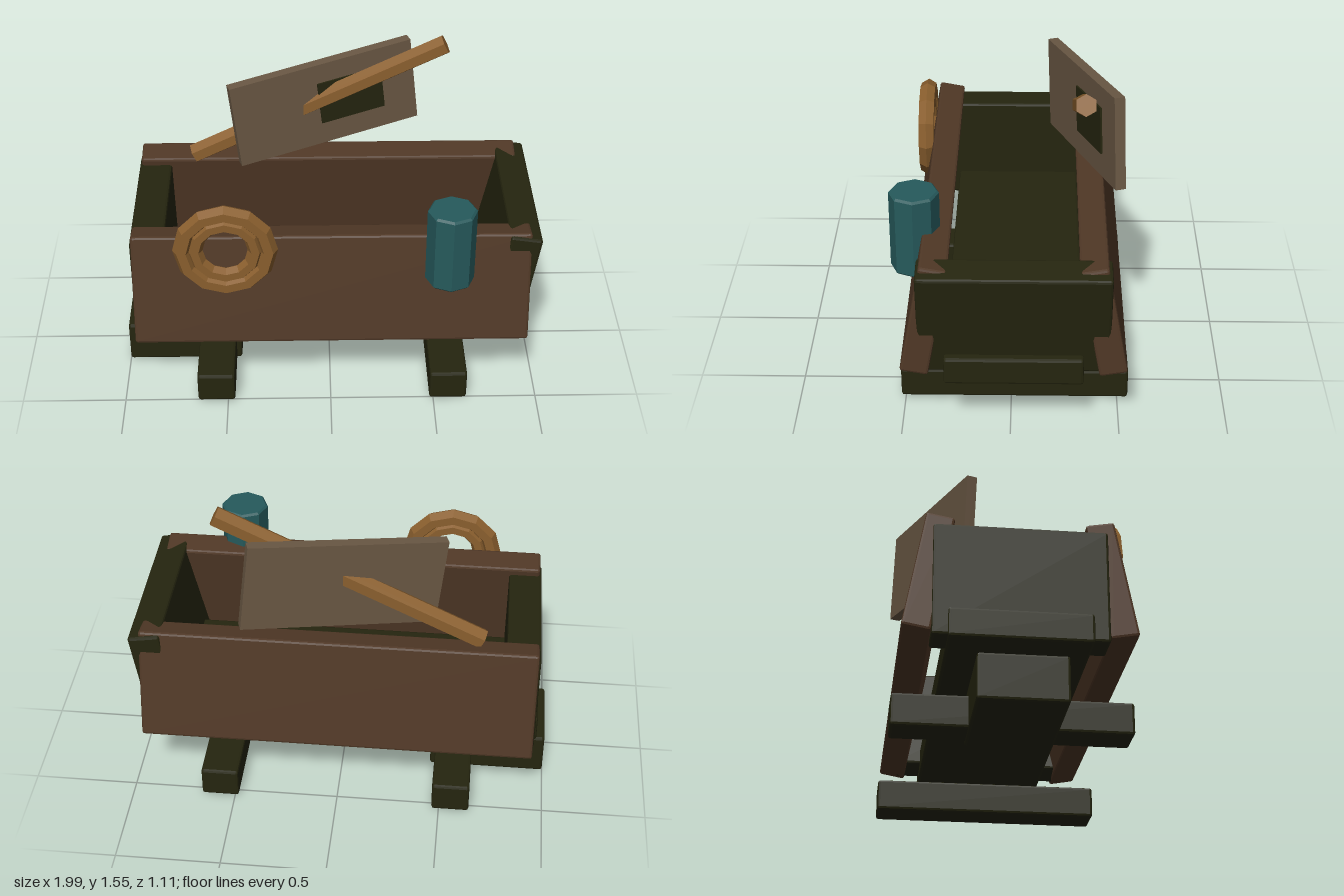
import * as THREE from 'three';
import { RoundedBoxGeometry } from 'three/addons/geometries/RoundedBoxGeometry.js';

const mat = (name, color) => {
  const m = new THREE.MeshStandardMaterial({ color });
  m.name = name;
  return m;
};

// Faceted copy of a geometry
function flat(geometry) {
  const g = geometry.index ? geometry.toNonIndexed() : geometry;
  g.computeVertexNormals();
  return g;
}

export function createModel() {
  const plankBrown = mat('plank brown', 0x503826);
  const darkWood = mat('dark wood', 0x25250f);
  const boardGrey = mat('weathered board', 0x6a5844);
  const ropeTan = mat('rope and pole tan', 0x8a5f2e);
  const teal = mat('teal', 0x265a5c);

  const group = new THREE.Group();
  const add = (name, geometry, material, x, y, z, parent = group) => {
    const mesh = new THREE.Mesh(flat(geometry), material);
    mesh.name = name;
    mesh.position.set(x, y, z);
    parent.add(mesh);
    return mesh;
  };
  // Box with slightly chamfered edges
  const beam = (name, material, size, pos) =>
    add(name, new RoundedBoxGeometry(...size, 1, 0.012), material, ...pos);

  // Runners and block under the trough
  for (const [name, x] of [['rightRunner', -0.555], ['leftRunner', 0.57]]) {
    beam(name, darkWood, [0.18, 0.15, 1.07], [x, 0.085, -0.015]);
  }
  beam('groundBlock', darkWood, [0.56, 0.21, 0.395], [-0.72, 0.105, -0.015]);

  // Trough: floor, upright end, leaning end, splayed sides
  beam('floor', darkWood, [1.915, 0.135, 0.63], [0.005, 0.3675, -0.015]);
  beam('rightEnd', darkWood, [0.16, 0.53, 0.77], [-0.86, 0.575, -0.015]);
  const leaning = beam('leftEnd', darkWood, [0.152, 0.54, 0.865], [0.873, 0.612, -0.0165]);
  leaning.rotation.z = -0.155;
  for (const [name, s] of [['frontSide', 1], ['backSide', -1]]) {
    const side = beam(name, plankBrown, [1.87, 0.555, 0.13], [0.005, 0.615, -0.015 + s * 0.401]);
    side.rotation.x = -s * 0.18;
  }

  // Tilted sign board with a dark panel on its front
  const sign = new THREE.Group();
  sign.name = 'signBoard';
  sign.position.set(-0.0175, 1.187, -0.342);
  sign.rotation.set(0, 0.32, 0.115, 'YZX');
  group.add(sign);
  add('board', new THREE.BoxGeometry(0.93, 0.445, 0.05), boardGrey, 0, 0, 0, sign);
  add('darkPanel', new THREE.BoxGeometry(0.33, 0.225, 0.009), darkWood, 0.132, 0.008, 0.029, sign);

  // Six-sided pole piercing the board
  const poleGeometry = new THREE.CylinderGeometry(0.05, 0.05, 1.37, 6).rotateY(Math.PI / 2);
  const pole = add('pole', poleGeometry, ropeTan, -0.05, 1.203, -0.325);
  pole.rotation.z = 0.457 - Math.PI / 2;

  // Rope coil of two rings
  for (const [name, radius, tube] of [['outerCoil', 0.202, 0.043], ['innerCoil', 0.141, 0.037]]) {
    add(name, new THREE.TorusGeometry(radius, tube, 6, 12), ropeTan, -0.488, 0.855, 0.44);
  }

  // Eight-sided canister with chamfered rims
  const profile = [[0, -0.197], [0.105, -0.197], [0.115, -0.187], [0.115, 0.187], [0.105, 0.197], [0, 0.197]]
    .map(([x, y]) => new THREE.Vector2(x, y));
  add('canister', new THREE.LatheGeometry(profile, 8), teal, 0.557, 0.873, 0.44);

  return group;
}
